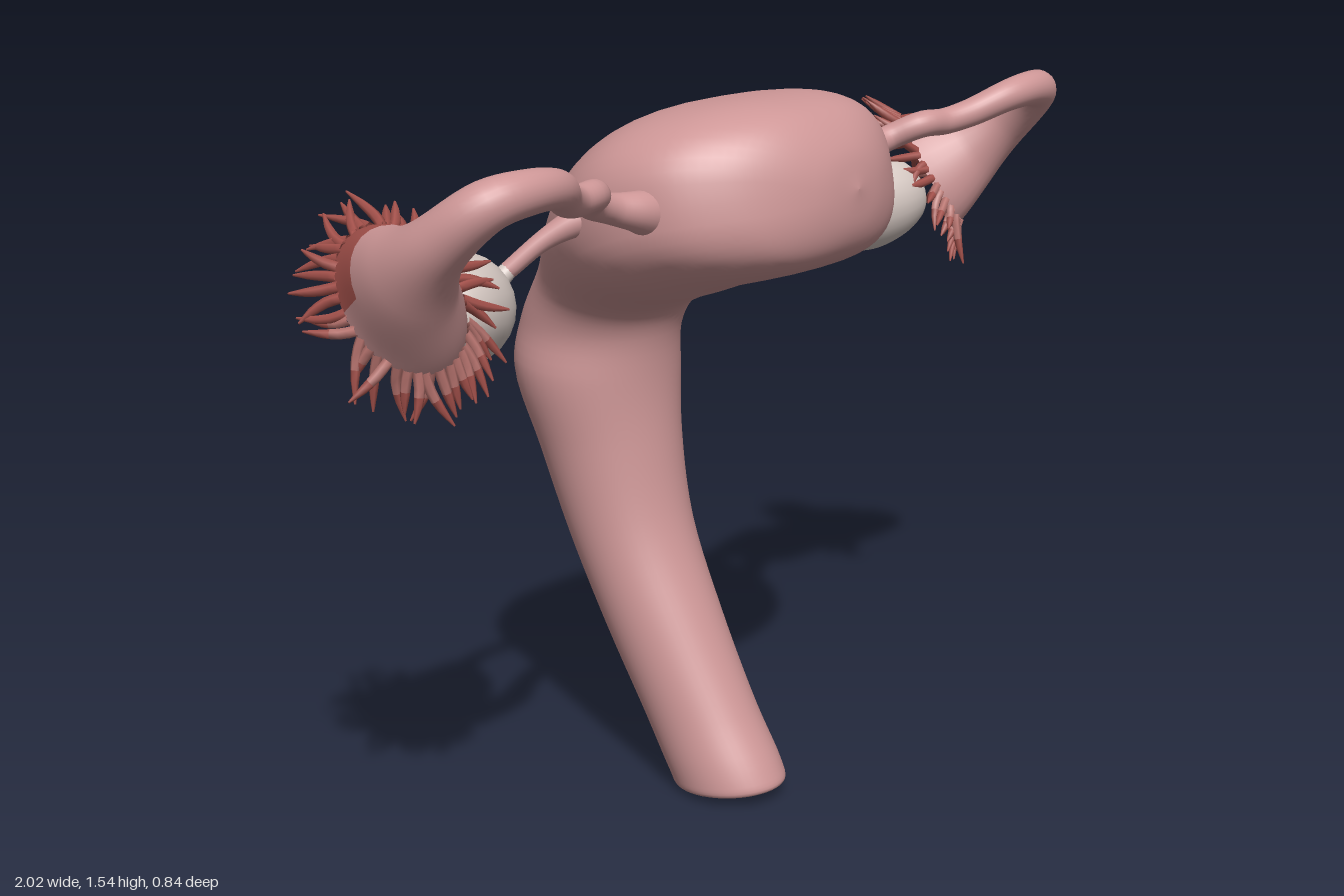
import * as THREE from 'three';

const V = (x, y, z) => new THREE.Vector3(x, y, z);
const TAU = Math.PI * 2;
const { smoothstep } = THREE.MathUtils;

function seeded(seed) {
  return () => (seed = (seed * 16807) % 2147483647) / 2147483647;
}

// Skin a list of rings { c, u, v, e }; e below 1 makes an ellipse squarer, pick keeps quads.
function loft(rings, sides, pick = () => true) {
  const pos = [], index = [];
  for (const { c, u, v, e = 1 } of rings) {
    const bulge = x => Math.sign(x) * Math.abs(x) ** e;
    for (let j = 0; j < sides; j++) {
      const a = (j / sides) * TAU;
      const p = c.clone().addScaledVector(u, bulge(Math.cos(a))).addScaledVector(v, bulge(Math.sin(a)));
      pos.push(p.x, p.y, p.z);
    }
  }
  for (let i = 0; i < rings.length - 1; i++) {
    for (let j = 0; j < sides; j++) {
      if (!pick(i, j)) continue;
      const k = (j + 1) % sides;
      const a = i * sides + j, b = i * sides + k, c = b + sides, d = a + sides;
      index.push(a, b, c, a, c, d);
    }
  }
  const g = new THREE.BufferGeometry();
  g.setAttribute('position', new THREE.Float32BufferAttribute(pos, 3));
  g.setIndex(index);
  g.computeVertexNormals();
  return g;
}

// Round rings along a smooth path of [x, y, z, radius] points, mirrored by sx.
function sweepRings(points, steps, sx = 1) {
  const curve = new THREE.CatmullRomCurve3(points.map(p => V(p[0] * sx, p[1], p[2])));
  const radii = new THREE.CatmullRomCurve3(points.map((p, i) => V(i, p[3], 0)));
  const frames = curve.computeFrenetFrames(steps);
  const rings = [];
  for (let i = 0; i <= steps; i++) {
    const t = curve.getUtoTmapping(i / steps);
    const r = Math.max(radii.getPoint(t).y, 0.001);
    rings.push({
      c: curve.getPoint(t), t: frames.tangents[i],
      u: frames.normals[i].clone().multiplyScalar(r),
      v: frames.binormals[i].clone().multiplyScalar(r),
    });
  }
  return rings;
}

// Body sections: front z, y, back z, y, half width
const BODY = [
  [0.06, 0.27, 0.03, 0.265, 0.01],
  [0.13, 0.24, -0.05, 0.22, 0.07],
  [0.20, 0.065, 0.035, 0.03, 0.07],
  [0.215, 0.03, 0.02, 0.005, 0.083],
  [0.243, 0.04, -0.012, 0.005, 0.108],
  [0.23, 0.075, -0.03, 0.035, 0.113],
  [0.16, 0.19, -0.10, 0.16, 0.115],
  [0.06, 0.38, -0.20, 0.34, 0.126],
  [-0.03, 0.58, -0.295, 0.54, 0.142],
  [-0.07, 0.76, -0.367, 0.74, 0.168],
  [-0.085, 0.90, -0.423, 0.93, 0.2],
  [-0.08, 1.00, -0.40, 1.04, 0.193],
  [-0.06, 1.05, -0.33, 1.16, 0.212],
  [0.0, 1.09, -0.22, 1.32, 0.298],
  [0.08, 1.12, -0.10, 1.44, 0.358],
  [0.17, 1.155, 0.03, 1.51, 0.374],
  [0.27, 1.185, 0.17, 1.537, 0.347],
  [0.345, 1.21, 0.27, 1.535, 0.28],
  [0.39, 1.24, 0.34, 1.51, 0.2],
  [0.415, 1.29, 0.395, 1.45, 0.105],
  [0.42, 1.37, 0.42, 1.372, 0.001],
];

// Side tube, ending in an open funnel
const TUBE = [
  [0.29, 1.33, 0.15, 0.06], [0.36, 1.35, 0.165, 0.042], [0.43, 1.365, 0.15, 0.03],
  [0.50, 1.385, 0.16, 0.028], [0.55, 1.415, 0.215, 0.029], [0.62, 1.415, 0.23, 0.029],
  [0.68, 1.43, 0.26, 0.031], [0.76, 1.465, 0.31, 0.035], [0.84, 1.472, 0.318, 0.039],
  [0.915, 1.457, 0.295, 0.045], [0.945, 1.39, 0.215, 0.056], [0.925, 1.32, 0.125, 0.079],
  [0.868, 1.255, 0.038, 0.105],
];

const LIGAMENT = [
  [0.25, 1.33, 0.03, 0.06], [0.33, 1.32, 0.01, 0.036],
  [0.40, 1.28, -0.04, 0.021], [0.46, 1.22, -0.088, 0.018],
];

const OVARY = [
  [0.46, 1.22, -0.088, 0.018], [0.52, 1.168, -0.108, 0.027], [0.57, 1.175, -0.08, 0.061],
  [0.65, 1.19, -0.03, 0.105], [0.73, 1.205, 0.012, 0.1], [0.79, 1.215, 0.04, 0.066],
  [0.825, 1.225, 0.055, 0.001],
];

export function createModel() {
  const model = new THREE.Group();
  model.name = 'uterusModel';
  const material = (name, color, extra = {}) => {
    const m = new THREE.MeshStandardMaterial({ color, ...extra });
    m.name = name;
    return m;
  };
  const pink = material('tissuePink', 0xce9797, { side: THREE.DoubleSide });
  const red = material('fringeRed', 0xa2504a, { side: THREE.DoubleSide });
  const rose = material('fringeRose', 0xb97570);
  const pale = material('ovaryPale', 0xd5c8c2);
  const add = (parent, name, geometry, mat) => {
    const m = new THREE.Mesh(geometry, mat);
    m.name = name;
    parent.add(m);
  };

  // Bent body with a hollow lower end; the upper bulb is squarer in section
  const front = new THREE.CatmullRomCurve3(BODY.map(s => V(s[4], s[1], s[0])));
  const back = new THREE.CatmullRomCurve3(BODY.map(s => V(s[4], s[3], s[2])));
  const last = BODY.length - 1, steps = last * 5;
  const bodyRings = [];
  for (let i = 0; i <= steps; i++) {
    const f = front.getPoint(i / steps), b = back.getPoint(i / steps);
    const w = Math.max((f.x + b.x) / 2, 0.0005);
    const s = (i / steps) * last;
    f.x = b.x = 0;
    bodyRings.push({
      c: f.clone().add(b).multiplyScalar(0.5),
      u: V(w, 0, 0),
      v: b.clone().sub(f).multiplyScalar(0.5),
      e: 1 - 0.27 * smoothstep(s, 12, 15) * (1 - smoothstep(s, 17.5, 20)),
    });
  }
  add(model, 'body', loft(bodyRings, 48), pink);

  for (const sx of [1, -1]) {
    const side = new THREE.Group();
    side.name = sx > 0 ? 'leftSide' : 'rightSide';
    model.add(side);
    const rand = seeded(sx > 0 ? 311 : 907);

    // Tube and funnel; the funnel mouth widens into an upright oval
    const N = 72, S = 28;
    const rings = sweepRings(TUBE, N, sx);
    const tall = V(0, 0.76, -0.65);
    rings.forEach(({ u, v }, i) => {
      const stretch = 0.42 * smoothstep(i, N - 16, N);
      for (const axis of [u, v]) axis.addScaledVector(tall, axis.dot(tall) * stretch);
    });

    // Red patch on the rear outer lip
    const rearOuter = V(0.5 * sx, 0.55, -0.7).normalize();
    const isPatch = (i, j) => {
      if (i < N - 5) return false;
      const a = ((j + 0.5) / S) * TAU, { u, v } = rings[i];
      const d = u.clone().multiplyScalar(Math.cos(a)).addScaledVector(v, Math.sin(a)).normalize();
      return d.dot(rearOuter) > 0.62;
    };
    add(side, 'tube', loft(rings, S, (i, j) => !isPatch(i, j)), pink);
    add(side, 'funnelPatch', loft(rings, S, isPatch), red);

    add(side, 'ligament', loft(sweepRings(LIGAMENT, 18, sx), 14), pink);
    add(side, 'ovary', loft(sweepRings(OVARY, 40, sx), 24), pale);

    // Fringe of tapering curled fingers around the funnel lip, rosy at the lower roots
    const fringe = new THREE.Group();
    fringe.name = 'fringe';
    side.add(fringe);
    const { c, u, v, t } = rings[N];
    const count = 44;
    for (let k = 0; k < count; k++) {
      const a = ((k + rand() * 0.8) / count) * TAU;
      const out = u.clone().multiplyScalar(Math.cos(a)).addScaledVector(v, Math.sin(a));
      const base = c.clone().addScaledVector(out, 0.96).addScaledVector(t, -0.006);
      out.normalize();
      const along = v.clone().multiplyScalar(Math.cos(a)).addScaledVector(u, -Math.sin(a)).normalize();
      const len = 0.055 + rand() * 0.035;
      const lean = 0.4 + rand() * 1.2, sway = (rand() - 0.5) * 0.9, curl = (rand() - 0.5) * 1.3;
      const dir = out.clone().addScaledVector(t, lean).addScaledVector(along, sway).normalize();
      const path = [0, 0.35, 0.7, 1].map((s, i) => {
        const p = base.clone().addScaledVector(dir, len * s)
          .addScaledVector(along, curl * len * s * s)
          .addScaledVector(out, 0.25 * len * s * s);
        return [p.x, p.y, p.z, [0.01, 0.01, 0.008, 0.002][i]];
      });
      const finger = sweepRings(path, 6);
      const rootEnd = out.y < -0.2 ? 3 : 0;
      if (rootEnd) add(fringe, 'fringeRoot', loft(finger.slice(0, rootEnd + 1), 6), rose);
      add(fringe, 'fringeFinger', loft(finger.slice(rootEnd), 6), red);
    }
  }
  return model;
}
